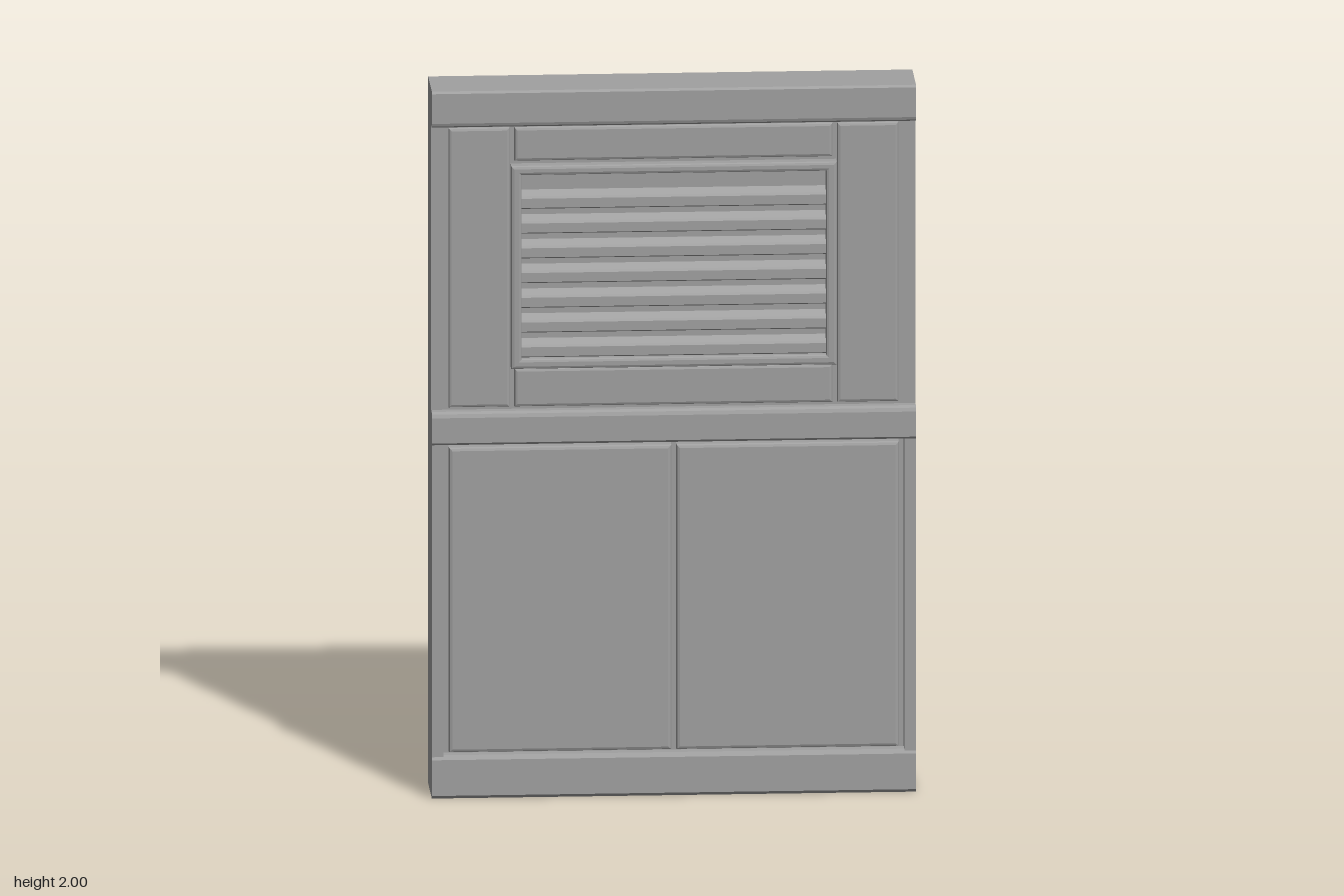
import * as THREE from 'three';

const grey = new THREE.MeshStandardMaterial({ color: 0xa0a0a0 });
grey.name = 'grey';
const W = 0.665; // half width of the cabinet

export function createModel() {
  const model = new THREE.Group();
  model.name = 'cabinetWall';

  function add(name, geometry) {
    const mesh = new THREE.Mesh(geometry, grey);
    mesh.name = name;
    model.add(mesh);
    return mesh;
  }

  function box(name, x0, x1, y0, y1, z0, z1) {
    const g = new THREE.BoxGeometry(x1 - x0, y1 - y0, z1 - z0);
    return add(name, g.translate((x0 + x1) / 2, (y0 + y1) / 2, (z0 + z1) / 2));
  }

  // Profile of [z, y] points swept across the width
  function rail(name, points, halfWidth = W) {
    const shape = new THREE.Shape(points.map(([z, y]) => new THREE.Vector2(-z, y)));
    const g = new THREE.ExtrudeGeometry(shape, { depth: halfWidth * 2, bevelEnabled: false });
    return add(name, g.translate(0, 0, -halfWidth).rotateY(Math.PI / 2));
  }

  function rect(Type, x0, x1, y0, y1) {
    return new Type([[x0, y0], [x1, y0], [x1, y1], [x0, y1]].map(p => new THREE.Vector2(...p)));
  }

  // Upright panel with bevelled edges, optionally with an opening
  function panel(name, x0, x1, y0, y1, z0, z1, bevel, hole) {
    const b = bevel;
    const shape = rect(THREE.Shape, x0 + b, x1 - b, y0 + b, y1 - b);
    if (hole) shape.holes.push(rect(THREE.Path, hole[0] - b, hole[1] + b, hole[2] - b, hole[3] + b));
    const g = new THREE.ExtrudeGeometry(shape, {
      depth: z1 - z0 - 2 * b, bevelSize: b, bevelThickness: b, bevelSegments: 2,
    });
    return add(name, g.translate(0, 0, z0 + b));
  }

  // Carcass and back
  box('carcass', -W, W, 0.1, 1.95, -0.08, 0.06);
  panel('backPanel', -0.658, 0.658, 0.125, 1.99, -0.097, -0.07, 0.006);

  // Horizontal rails with softened front edges
  rail('topRail', [[-0.08, 1.89], [0.06, 1.89], [0.06, 1.897], [0.086, 1.897], [0.094, 1.902],
    [0.097, 1.91], [0.097, 1.994], [0.091, 2], [-0.08, 2]]);
  rail('middleRail', [[0.04, 1], [0.092, 1], [0.097, 1.006], [0.097, 1.077],
    [0.093, 1.087], [0.083, 1.092], [0.04, 1.092]]);
  rail('baseRail', [[-0.097, 0], [0.089, 0], [0.097, 0.009], [0.097, 0.11],
    [0.089, 0.122], [-0.089, 0.122], [-0.097, 0.112]]);

  for (const side of [-1, 1]) {
    const at = (a, b) => (side < 0 ? [-b, -a] : [a, b]);
    box('cornerPost', ...at(0.633, W), 0.11, 1.01, 0.04, 0.092);
    panel('lowerDoor', ...at(0.007, 0.618), 0.13, 0.992, 0.045, 0.096, 0.009);
    panel('upperSidePanel', ...at(0.45, 0.618), 1.1, 1.89, 0.045, 0.073, 0.008);
  }
  panel('panelAboveVent', -0.437, 0.437, 1.795, 1.89, 0.045, 0.073, 0.008);
  panel('panelBelowVent', -0.437, 0.437, 1.1, 1.208, 0.045, 0.073, 0.008);

  // Louvred vent
  panel('ventFrame', -0.447, 0.447, 1.212, 1.786, 0.045, 0.097, 0.008, [-0.418, 0.418, 1.24, 1.76]);
  for (let i = 0; i < 7; i++) {
    const y = 1.262 + i * 0.07;
    rail('ventSlat', [[0.05, y - 0.002], [0.08, y - 0.02], [0.087, y - 0.016],
      [0.087, y + 0.01], [0.082, y + 0.016], [0.05, y + 0.036]], 0.425);
  }
  return model;
}
